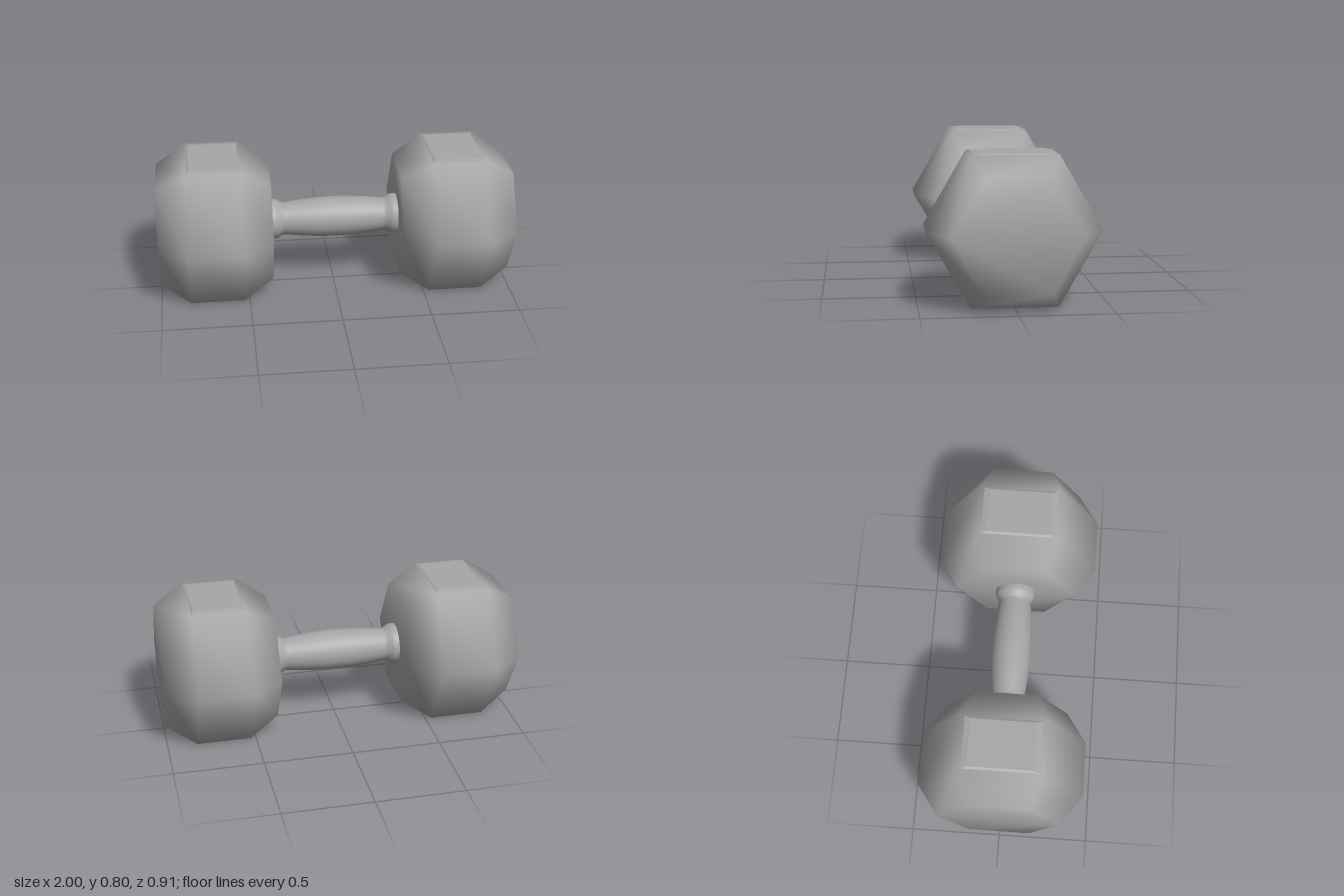
import * as THREE from 'three';

const AXIS_Y = 0.402;

// Six-sided head along x, chamfered towards both ends, with shared smooth normals
function headGeometry() {
  const rings = [[-0.318, 0.344], [-0.152, 0.457], [0.152, 0.457], [0.318, 0.344]];
  const positions = [], index = [];
  for (const [x, r] of rings) {
    for (let j = 0; j < 6; j++) {
      const a = j * Math.PI / 3;
      positions.push(x, r * Math.sin(a), r * Math.cos(a));
    }
  }
  for (let i = 0; i < rings.length - 1; i++) {
    for (let j = 0; j < 6; j++) {
      const k = (j + 1) % 6;
      const a = i * 6 + j, b = a + 6, c = i * 6 + 6 + k, d = i * 6 + k;
      index.push(a, b, d, b, c, d);
    }
  }
  // End caps
  const last = (rings.length - 1) * 6;
  for (let j = 1; j < 5; j++) {
    index.push(0, j, j + 1, last, last + j + 1, last + j);
  }
  const geo = new THREE.BufferGeometry();
  geo.setAttribute('position', new THREE.Float32BufferAttribute(positions, 3));
  geo.setIndex(index);
  geo.computeVertexNormals();
  return geo;
}

// Thin raised pad with sloping rims
function padGeometry() {
  const geo = new THREE.BoxGeometry(0.3, 0.009, 0.45);
  const p = geo.attributes.position;
  for (let i = 0; i < p.count; i++) {
    if (p.getY(i) > 0) p.setXYZ(i, p.getX(i) * 0.88, p.getY(i), p.getZ(i) * 0.8);
  }
  geo.computeVertexNormals();
  return geo;
}

// Turned grip: swollen middle, narrow necks, flared collars
function gripGeometry() {
  const half = [[0, 0.115], [0.08, 0.113], [0.16, 0.107], [0.23, 0.1], [0.285, 0.093],
    [0.3, 0.096], [0.325, 0.111], [0.34, 0.115], [0.375, 0.115]];
  const mirrored = half.slice(1).reverse().map(([x, r]) => [-x, r]);
  const points = [...mirrored, ...half].map(([x, r]) => new THREE.Vector2(r, x));
  return new THREE.LatheGeometry(points, 40).rotateZ(-Math.PI / 2);
}

export function createModel() {
  const grey = new THREE.MeshStandardMaterial({ color: 0xa6a6a6 });
  grey.name = 'grey metal';
  const model = new THREE.Group();
  model.name = 'dumbbell';

  const add = (parent, name, geo) => {
    const mesh = new THREE.Mesh(geo, grey);
    mesh.name = name;
    parent.add(mesh);
    return mesh;
  };

  add(model, 'grip', gripGeometry()).position.y = AXIS_Y;

  const headGeo = headGeometry(), padGeo = padGeometry();
  for (const [name, side] of [['left', 1], ['right', -1]]) {
    const head = new THREE.Group();
    head.name = name + 'Weight';
    head.position.set(side * 0.682, AXIS_Y, 0);
    add(head, name + 'Head', headGeo);
    add(head, name + 'TopPad', padGeo).position.y = 0.3975;
    const bottom = add(head, name + 'BottomPad', padGeo);
    bottom.position.y = -0.3975;
    bottom.rotation.x = Math.PI;
    model.add(head);
  }
  return model;
}
